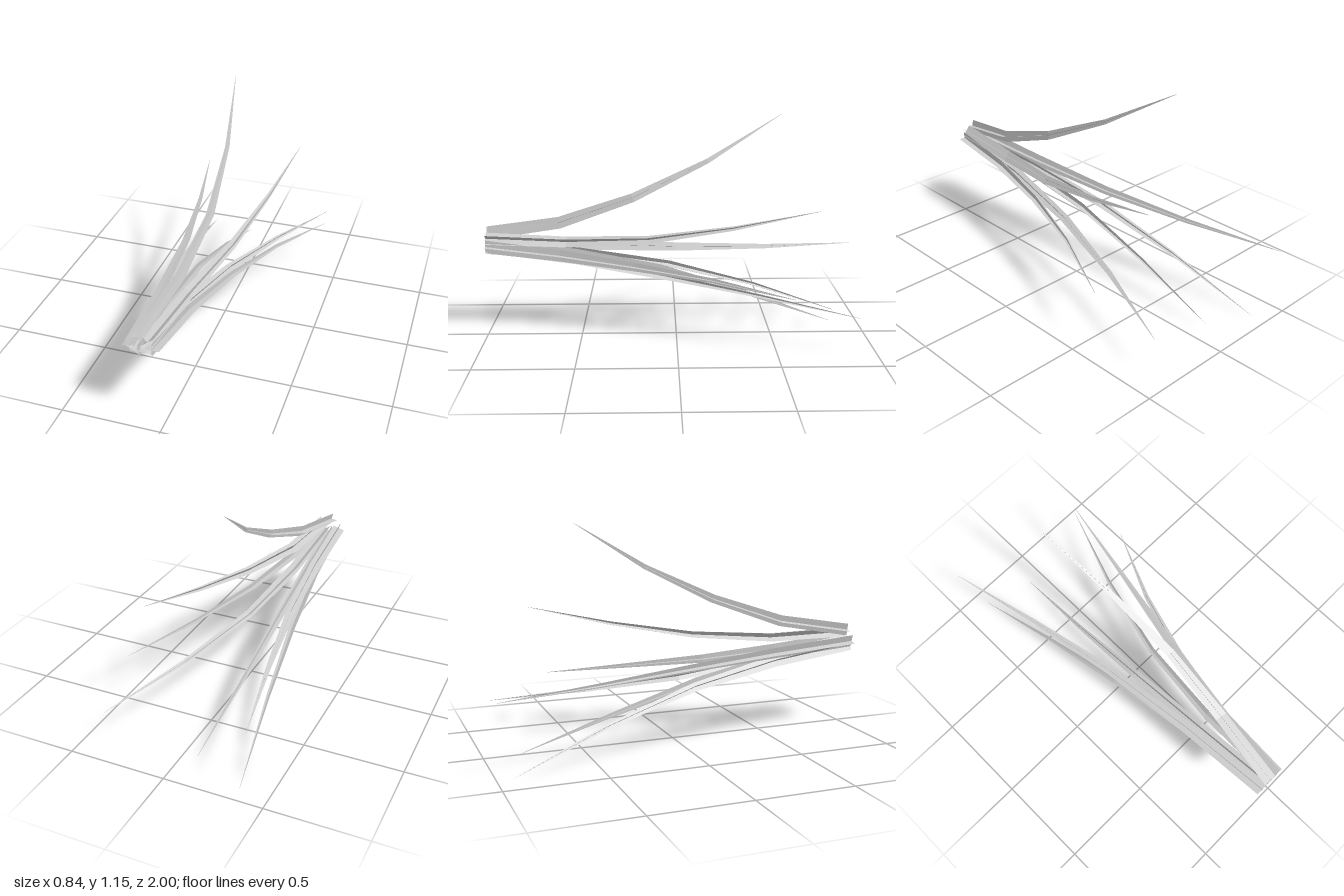
import * as THREE from 'three';

// Centre line of each blade in (x, y), root to tip; z runs evenly from 1 to zTip.
// facing is the (x, y) direction its upright strip points to.
const BLADES = [
  { zTip: -0.55, facing: [-0.2, 1], path: [[-0.085, 0.535], [-0.035, 0.6], [-0.008, 0.737], [-0.041, 0.922], [-0.115, 1.155]] },
  { zTip: -0.71, facing: [0.8, 0.6], path: [[-0.04, 0.515], [0.0, 0.505], [0.085, 0.535], [0.16, 0.61], [0.225, 0.71]] },
  { zTip: -0.57, facing: [1, 0], path: [[-0.022, 0.475], [0.015, 0.435], [0.1, 0.395], [0.235, 0.36], [0.42, 0.315]] },
  { zTip: -0.9, facing: [0.84, -0.55], path: [[-0.048, 0.463], [-0.03, 0.4], [0.04, 0.325], [0.18, 0.26], [0.365, 0.2]] },
  { zTip: -0.83, facing: [0, -1], path: [[-0.088, 0.454], [-0.11, 0.41], [-0.12, 0.325], [-0.113, 0.19], [-0.09, 0.035]] },
  { zTip: -0.92, facing: [-0.49, -0.87], path: [[-0.117, 0.46], [-0.16, 0.41], [-0.22, 0.325], [-0.283, 0.185], [-0.35, 0.002]] },
  { zTip: -1.0, facing: [-0.96, -0.29], path: [[-0.133, 0.48], [-0.165, 0.452], [-0.22, 0.42], [-0.31, 0.396], [-0.42, 0.385]] },
];
const HALF_WIDTHS = [0.035, 0.031, 0.023, 0.0125, 0.0008];

// A tapering strip along the centre line, widened along a direction per station
function strip(points, across) {
  const positions = [];
  const add = (...vs) => vs.forEach((v) => positions.push(v.x, v.y, v.z));
  const edge = (i, s) => {
    const v = points[i].clone().addScaledVector(across[i], s * HALF_WIDTHS[i]);
    return i === 0 ? v.setZ(1) : v; // roots are cut square
  };
  for (let i = 0; i < points.length - 1; i++) {
    for (const s of [-1, 1]) {
      const a = edge(i, s), b = points[i], c = points[i + 1], d = edge(i + 1, s);
      add(a, b, c, a, c, d);
    }
  }
  const geometry = new THREE.BufferGeometry();
  geometry.setAttribute('position', new THREE.Float32BufferAttribute(positions, 3));
  geometry.computeVertexNormals();
  return geometry;
}

export function createModel() {
  const model = new THREE.Group();
  model.name = 'bladeCluster';
  const grey = new THREE.MeshStandardMaterial({ color: 0xcccccc, side: THREE.DoubleSide, flatShading: true });
  grey.name = 'lightGrey';

  BLADES.forEach(({ zTip, facing, path }, n) => {
    const last = path.length - 1;
    const points = path.map(([x, y], i) => new THREE.Vector3(x, y, THREE.MathUtils.lerp(1, zTip, i / last)));
    const outward = new THREE.Vector3(...facing, 0);

    // Two crossed directions at every station, square to the blade
    const sides = [], fins = [];
    points.forEach((p, i) => {
      const tangent = points[Math.min(i + 1, last)].clone().sub(points[Math.max(i - 1, 0)]).normalize();
      const side = new THREE.Vector3().crossVectors(tangent, outward).normalize();
      sides.push(side);
      fins.push(new THREE.Vector3().crossVectors(side, tangent));
    });

    const blade = new THREE.Group();
    blade.name = `blade${n + 1}`;
    [['flatStrip', sides], ['uprightStrip', fins]].forEach(([name, across]) => {
      const mesh = new THREE.Mesh(strip(points, across), grey);
      mesh.name = name;
      blade.add(mesh);
    });
    model.add(blade);
  });
  return model;
}
